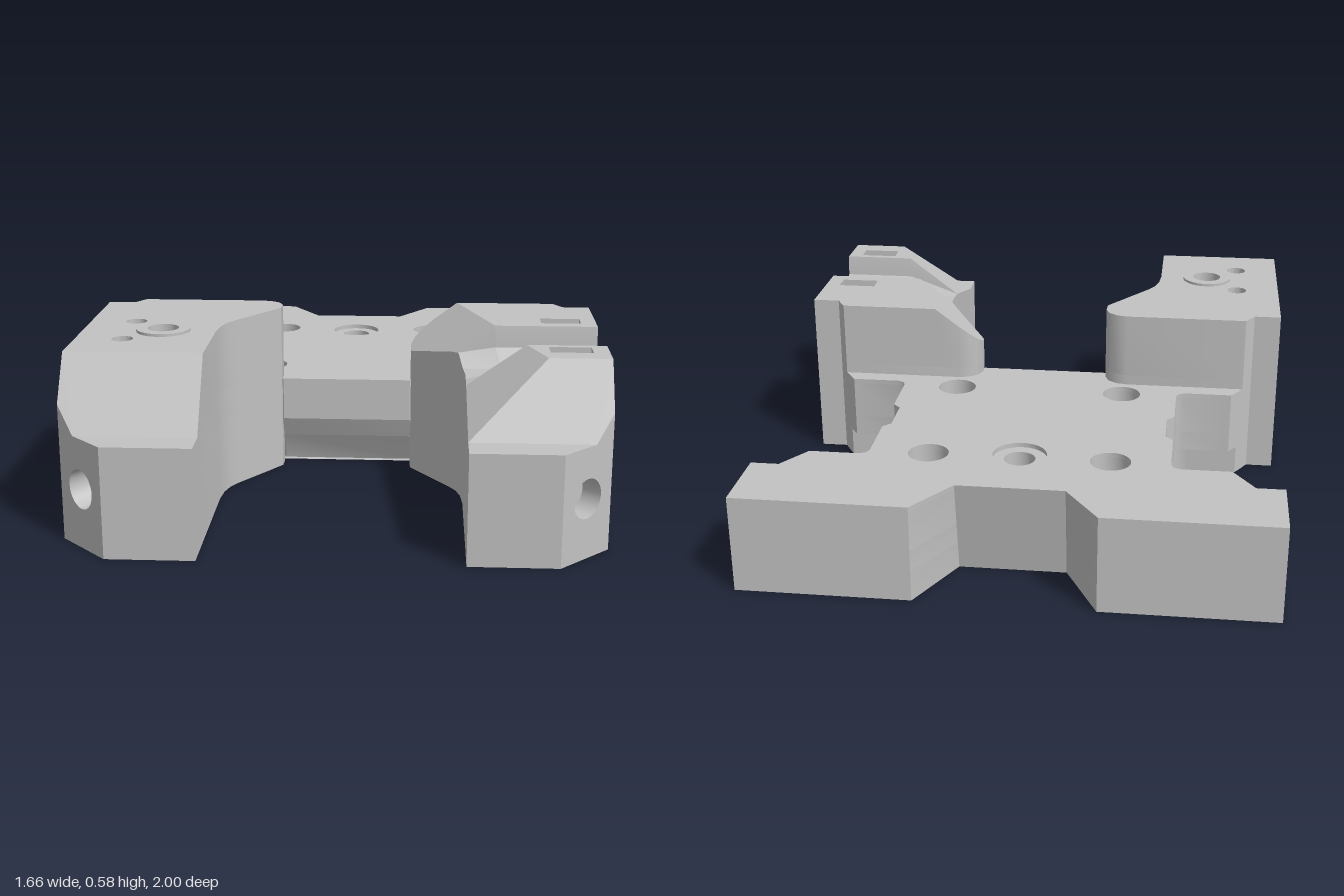
import * as THREE from 'three';
import { toCreasedNormals } from 'three/addons/utils/BufferGeometryUtils.js';

const grey = new THREE.MeshStandardMaterial({ color: 0xc2c2c2 });
grey.name = 'grey plastic';

// Outline helpers, all points are [x, z] on the ground plane
const circle = (x, z, r, n = 28) => Array.from({ length: n }, (_, i) => {
  const a = (i / n) * Math.PI * 2;
  return [x + r * Math.cos(a), z + r * Math.sin(a)];
});
const rect = (x0, x1, z0, z1) => [[x0, z0], [x1, z0], [x1, z1], [x0, z1]];

// Keep the part of an outline where a*x + b*z + c >= 0
function clip(poly, [a, b, c]) {
  const out = [];
  poly.forEach((p, i) => {
    const q = poly[(i + 1) % poly.length];
    const dp = a * p[0] + b * p[1] + c, dq = a * q[0] + b * q[1] + c;
    if (dp >= 0) out.push(p);
    if ((dp > 0 && dq < 0) || (dp < 0 && dq > 0)) {
      const t = dp / (dp - dq);
      out.push([p[0] + (q[0] - p[0]) * t, p[1] + (q[1] - p[1]) * t]);
    }
  });
  return out;
}

function inside(poly, hole) {
  const x = hole.reduce((s, p) => s + p[0], 0) / hole.length;
  const z = hole.reduce((s, p) => s + p[1], 0) / hole.length;
  let hit = false;
  poly.forEach((p, i) => {
    const q = poly[(i + 1) % poly.length];
    if ((p[1] > z) !== (q[1] > z) && x < p[0] + ((z - p[1]) / (q[1] - p[1])) * (q[0] - p[0])) hit = !hit;
  });
  return hit;
}

// Upright prism; top is a height or a rule of x and z, side mirrors in x
function prism(name, poly, holes, y0, top, side = 1, shift = null) {
  // Every loop is turned the same way so that hole walls face into the hole
  const loop = (pts) => {
    const v = pts.map(([x, z]) => new THREE.Vector2(x * side, -z));
    return THREE.ShapeUtils.isClockWise(v) ? v.reverse() : v;
  };
  const shape = new THREE.Shape(loop(poly));
  holes.filter((h) => inside(poly, h)).forEach((h) => shape.holes.push(new THREE.Path(loop(h))));
  const geo = new THREE.ExtrudeGeometry(shape, { depth: 1, bevelEnabled: false, steps: 1 });
  geo.rotateX(-Math.PI / 2);
  const pos = geo.attributes.position;
  for (let i = 0; i < pos.count; i++) {
    const x = pos.getX(i) * side, z = pos.getZ(i);
    const y = pos.getY(i) < 0.5 ? y0 : typeof top === 'function' ? top(x, z) : top;
    pos.setY(i, y);
    if (shift) pos.setZ(i, shift(y, z));
  }
  const mesh = new THREE.Mesh(toCreasedNormals(geo, 0.5), grey);
  mesh.name = name;
  return mesh;
}

// Base plate, layered so counterbores and side channels open from below
function basePlate() {
  const g = new THREE.Group();
  g.name = 'basePlate';
  const outline = (channels) => {
    const half = [
      [0.17, -0.84], [0.28, -1], [0.83, -1], [0.83, -0.755], [0.74, -0.755],
      ...(channels ? [[0.697, -0.69], [0.53, -0.69], [0.53, -0.65]] : [[0.67, -0.65]]),
      [0.51, -0.65], [0.489, -0.641], [0.48, -0.62], [0.48, -0.435], [0.455, -0.41],
      [0.455, -0.275], [0.48, -0.25], [0.48, -0.07], [0.489, -0.049], [0.51, -0.04],
      ...(channels ? [[0.53, -0.04], [0.53, 0], [0.697, 0]] : [[0.67, -0.04]]),
      [0.71, 0.02], [0.69, 0.06], [0.3, 0.06], [0.22, 0.12],
    ];
    return [...half, ...half.map(([x, z]) => [-x, z]).reverse()];
  };
  // Undersides of the front edge and of the rear notch slope inward
  const slope = (y, z) => {
    if (z > 0.11 && y < 0.17) return z - (0.17 - y) * 0.47;
    return Math.abs(z + 0.84) < 0.005 ? z + (0.315 - y) * 0.19 : z;
  };
  const layers = [[0, 0.1, 0.1, 0.05], [0.1, 0.17, 0.1, 0.05], [0.17, 0.3, 0.065, 0.05], [0.3, 0.315, 0.065, 0.087]];
  layers.forEach(([y0, y1, rCorner, rCentre]) => {
    const holes = [circle(0, -0.6, rCentre)];
    for (const x of [-0.29, 0.29]) for (const z of [-0.62, -0.07]) holes.push(circle(x, z, rCorner));
    g.add(prism('plateLayer', outline(y0 === 0), holes, y0, y1, 1, slope));
  });
  return g;
}

const armOutline = [
  [0.71, 0.02], [0.3, 0.02], [0.265, 0.028], [0.236, 0.05], [0.222, 0.085], [0.224, 0.13],
  [0.36, 0.325], [0.38, 0.36], [0.394, 0.41], [0.4, 0.48], [0.4, 1], [0.675, 1],
  [0.83, 0.845], [0.83, 0.07], [0.74, 0.07],
];
const TOP = 0.57, SHOULDER = 0.35;
const grooveProfile = [[0.35, 0.57], [0.36, 0.5], [0.41, 0.44], [0.535, 0.44], [0.585, 0.5], [0.595, 0.57]];

function grooveHeight(z) {
  for (let i = 0; i < grooveProfile.length - 1; i++) {
    const [a, ya] = grooveProfile[i], [b, yb] = grooveProfile[i + 1];
    if (z >= a && z <= b) return ya + ((yb - ya) * (z - a)) / (b - a);
  }
  return TOP;
}

const frontDrop = (z) => TOP - ((TOP - SHOULDER) / 0.15) * (z - 0.75);
const plainTop = (x, z) => Math.max(SHOULDER, Math.min(TOP, frontDrop(z)));
const cutTop = (x, z) => Math.max(SHOULDER,
  Math.min(TOP, frontDrop(z), TOP - 0.75 * (0.373 + 0.355 * z - x), grooveHeight(z)));

// Corner slab with the screw hole through the chamfer
function cornerSlab(side) {
  const d = 0.07, w = 0.155 * Math.SQRT1_2;
  const shape = new THREE.Shape([[-w, 0], [w, 0], [w, SHOULDER], [-w, SHOULDER]].map((p) => new THREE.Vector2(...p)));
  shape.holes.push(new THREE.Path(circle(0, 0.19, 0.062).map((p) => new THREE.Vector2(...p))));
  const geo = new THREE.ExtrudeGeometry(shape, { depth: d, bevelEnabled: false });
  const pos = geo.attributes.position;
  for (let i = 0; i < pos.count; i++) {
    const s = pos.getX(i);
    if (Math.abs(s) > 0.1 && pos.getZ(i) < d / 2) pos.setX(i, s + Math.sign(s) * d);
  }
  const mesh = new THREE.Mesh(toCreasedNormals(geo, 0.5), grey);
  mesh.name = 'screwCorner';
  mesh.rotation.y = (side * Math.PI) / 4;
  mesh.position.set(side * (0.7525 - d * Math.SQRT1_2), 0, 0.9225 - d * Math.SQRT1_2);
  return mesh;
}

function arm(side) {
  const g = new THREE.Group();
  const grooved = side > 0;
  g.name = grooved ? 'leftArm' : 'rightArm';
  const bore = circle(0.57, 0.47, 0.05);

  // Lower body with a nut slot open at the bottom
  const lower = clip(armOutline, [-1, -1, 1.576]);
  const slot = [[0.075, -0.08], [0.075, 0.08], [0.122, 0.08], [0.122, -0.08]].map(([depth, s]) =>
    [0.7525 + (s - depth) * Math.SQRT1_2, 0.9225 - (s + depth) * Math.SQRT1_2]);
  g.add(prism('armBase', lower, [bore, slot], 0, 0.25, side));
  g.add(prism('armBody', lower, [bore], 0.25, SHOULDER, side));
  g.add(cornerSlab(side));

  // Upper body in bands along z, split where two top planes meet
  const cuts = grooved ? [0, ...grooveProfile.map((p) => p[0]), 0.75, 0.9] : [0, 0.75, 0.9];
  const holes = grooved
    ? [bore, rect(0.65, 0.78, 0.243, 0.308), rect(0.65, 0.78, 0.618, 0.683)]
    : [bore, circle(0.68, 0.35, 0.034), circle(0.68, 0.585, 0.034)];
  for (let i = 0; i < cuts.length - 1; i++) {
    const band = clip(clip(armOutline, [0, 1, -cuts[i]]), [0, -1, cuts[i + 1]]);
    let pieces = [band];
    if (grooved && cuts[i] !== 0.41) {
      const crease = cuts[i] === 0.75 ? [-0.75, -1.201, 1.3805] : [1, -0.355, -0.373];
      pieces = [clip(band, crease), clip(band, crease.map((v) => -v))];
    }
    pieces.filter((p) => p.length > 2).forEach((p) =>
      g.add(prism('armTop', p, holes, SHOULDER, grooved ? cutTop : plainTop, side)));
  }

  // Raised ring around the bore
  const y = grooved ? 0.44 : TOP;
  g.add(prism('boreRing', circle(0.57, 0.47, grooved ? 0.097 : 0.087, 40), [bore], y - 0.005, y + 0.009, side));
  return g;
}

export function createModel() {
  const model = new THREE.Group();
  model.name = 'bracket';
  model.add(basePlate(), arm(1), arm(-1));
  return model;
}
